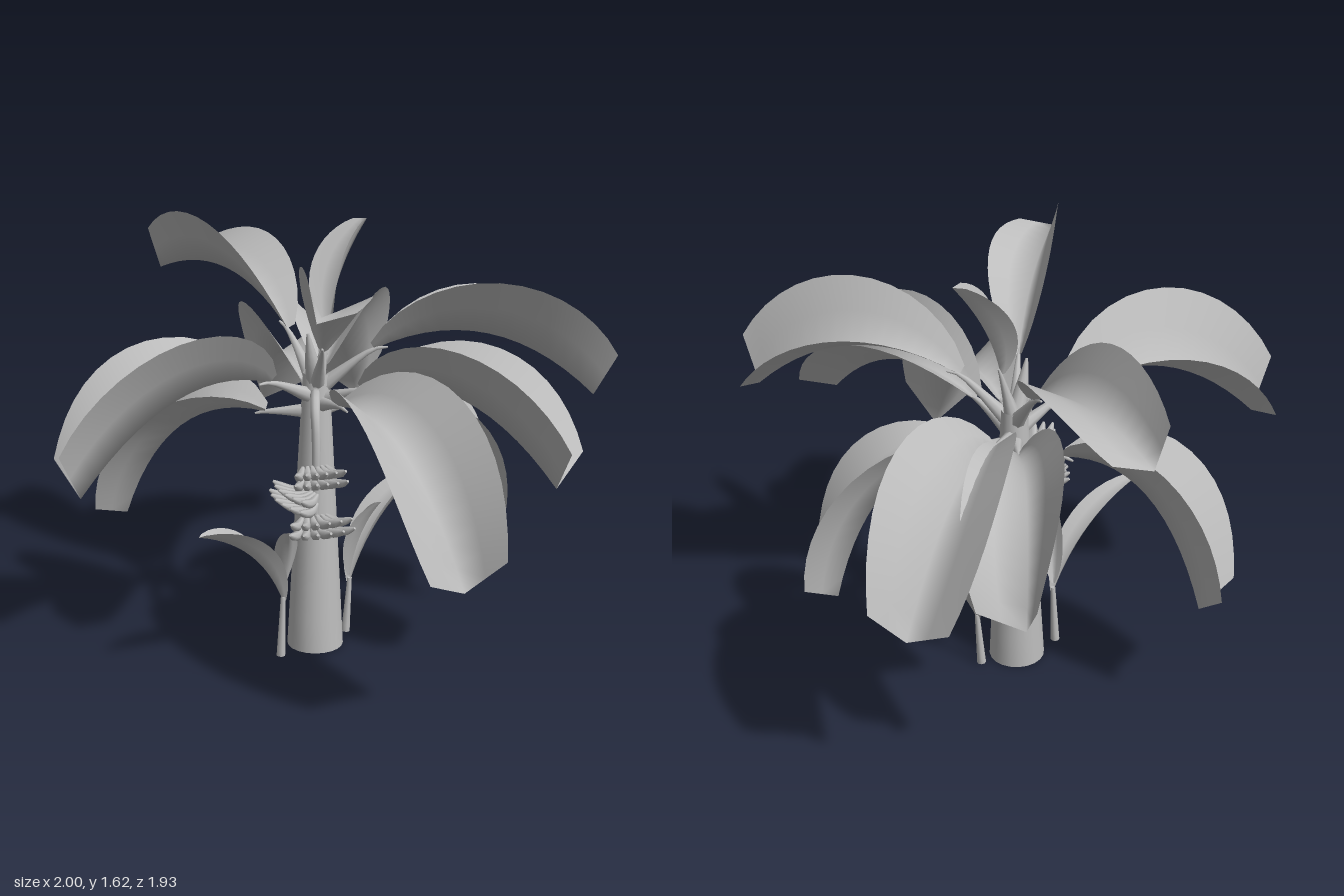
import * as THREE from 'three';

const V = (p) => new THREE.Vector3(...p);
const UP = new THREE.Vector3(0, 1, 0);

// grid of points -> smooth indexed surface
function surface(rows, closed = false) {
  const n = rows[0].length, pos = [], idx = [];
  rows.forEach((r) => r.forEach((p) => pos.push(p.x, p.y, p.z)));
  for (let i = 0; i < rows.length - 1; i++) {
    for (let j = 0; j < (closed ? n : n - 1); j++) {
      const k = (j + 1) % n, a = i * n + j, b = i * n + k, c = a + n, d = b + n;
      idx.push(a, b, c, b, d, c);
    }
  }
  const g = new THREE.BufferGeometry();
  g.setAttribute('position', new THREE.Float32BufferAttribute(pos, 3));
  g.setIndex(idx);
  g.computeVertexNormals();
  return g;
}

// round tapering tube through a few points, radii spread evenly along it
function taper(points, radii, sides = 10, steps = 8, capped = true) {
  const curve = new THREE.CatmullRomCurve3(points.map(V));
  const frames = curve.computeFrenetFrames(steps);
  const rows = [];
  for (let i = 0; i <= steps; i++) {
    const t = i / steps, c = curve.getPointAt(t), f = t * (radii.length - 1);
    const k = Math.min(Math.floor(f), radii.length - 2);
    const r = THREE.MathUtils.lerp(radii[k], radii[k + 1], f - k);
    const ring = [];
    for (let j = 0; j < sides; j++) {
      const a = (j / sides) * Math.PI * 2;
      ring.push(c.clone().addScaledVector(frames.normals[i], Math.cos(a) * r)
        .addScaledVector(frames.binormals[i], Math.sin(a) * r));
    }
    rows.push(ring);
  }
  if (capped) {
    const cap = (row) => {
      const m = new THREE.Vector3();
      row.forEach((p) => m.addScaledVector(p, 1 / sides));
      return row.map(() => m.clone());
    };
    const first = rows[0].map((p) => p.clone()), last = rows[steps].map((p) => p.clone());
    rows.unshift(cap(first), first);
    rows.push(last, cap(last));
  }
  return surface(rows, true);
}

// V-folded leaf blade along an arching midrib; roll tilts the right side up
// and grows by twist toward the tip, where the edges sweep back
function blade(base, mid, tip, half, roll, twist, fold = 0.78, blunt = 0.78) {
  const a = V(base), b = V(tip);
  const ctrl = V(mid).multiplyScalar(2).addScaledVector(a, -0.5).addScaledVector(b, -0.5);
  const curve = new THREE.QuadraticBezierCurve3(a, ctrl, b);
  const rows = [], steps = 14;
  for (let i = 0; i <= steps; i++) {
    const t = i / steps, c = curve.getPoint(t), T = curve.getTangent(t);
    const r = THREE.MathUtils.degToRad(roll + twist * t * t);
    const S = T.clone().cross(UP).normalize().applyAxisAngle(T, -r);
    const N = S.clone().cross(T);
    const w = half * Math.pow(Math.sin(Math.PI * (0.02 + blunt * t)), 0.7);
    rows.push([-1, -0.5, 0, 0.5, 1].map((s) => c.clone()
      .addScaledVector(S, s * w * Math.cos(fold))
      .addScaledVector(N, Math.abs(s) * w * Math.sin(fold))
      .addScaledVector(T, -Math.abs(s) * half * 0.22 * t * t * t)));
  }
  return surface(rows);
}

export function createModel() {
  const group = new THREE.Group();
  const gray = new THREE.MeshStandardMaterial({ color: 0xbcbcbc });
  gray.name = 'light gray';
  gray.side = THREE.DoubleSide;
  const add = (name, geo, parent = group) => {
    const m = new THREE.Mesh(geo, gray);
    m.name = name;
    parent.add(m);
    return m;
  };
  const sub = (name) => {
    const g = new THREE.Group();
    g.name = name;
    group.add(g);
    return g;
  };

  // trunk and rolled new leaf
  add('trunk', taper([[0.02, 0, 0], [0.025, 0.55, -0.01], [0.03, 1.07, -0.02]], [0.105, 0.077, 0.048], 20, 8, false));
  add('spearLeaf', taper([[0.025, 1.03, -0.01], [0, 1.13, 0.02], [-0.02, 1.24, 0.04]], [0.035, 0.025, 0.005]));

  // crown leaves: base, middle and tip of midrib, half width, roll, twist
  const leaves = [
    [[0.22, 1.17, 0.07], [0.6, 1.235, 0.21], [0.95, 1.02, 0.36], 0.26, 13, 18],
    [[0.16, 1.04, 0.13], [0.43, 1.07, 0.41], [0.67, 0.82, 0.7], 0.27, 10, 16],
    [[0.06, 1.0, 0.17], [0.17, 0.95, 0.54], [0.28, 0.55, 0.86], 0.28, -3, -20],
    [[0.0, 1.2, 0.15], [-0.075, 1.4, 0.4], [-0.18, 1.48, 0.67], 0.185, 13, 18],
    [[-0.17, 1.08, 0.07], [-0.54, 1.1, 0.21], [-0.91, 0.83, 0.34], 0.3, -13, -19],
    [[-0.14, 0.91, -0.1], [-0.42, 0.83, -0.26], [-0.6, 0.44, -0.42], 0.25, 10, 22],
    [[-0.03, 1.19, -0.19], [-0.17, 1.34, -0.53], [-0.35, 1.27, -0.85], 0.23, -12, -18],
    [[0.03, 0.98, -0.19], [0.03, 0.98, -0.53], [0.06, 0.68, -0.86], 0.25, -10, -22],
    [[0.11, 1.02, -0.2], [0.28, 1.01, -0.54], [0.46, 0.66, -0.86], 0.28, 3, 18],
    [[0.19, 0.93, -0.04], [0.5, 0.79, -0.08], [0.69, 0.37, -0.12], 0.25, -8, -20, 0.72],
    [[0.08, 1.22, -0.04], [0.14, 1.42, -0.08], [0.25, 1.6, -0.12], 0.11, 0, 0, 0.85, 0.9],
  ];
  leaves.forEach((spec, i) => {
    const [base, mid] = spec;
    const leaf = sub('crownLeaf' + (i + 1));
    add('blade', blade(...spec), leaf);
    const y = 0.93 + (base[1] - 0.93) * 0.3;
    const root = [0.03, y, -0.02];
    const on = V(base).lerp(V(mid), 0.12).toArray();
    add('leafStem', taper([root, base, on], [0.034, 0.017, 0.004], 8), leaf);
  });

  // hanging fruit stalk
  const bunch = sub('fruitBunch');
  add('fruitStalk', taper([[0.02, 0.98, 0.0], [-0.01, 1.03, 0.1], [-0.035, 1.0, 0.18],
    [-0.04, 0.88, 0.21], [-0.045, 0.55, 0.205]], [0.02, 0.017, 0.015, 0.013], 8, 16), bunch);

  // hands of fruit: height, facing angle, fan between neighbours
  const fruit = taper([[0.01, 0, 0], [0.05, -0.014, 0], [0.09, -0.005, 0], [0.13, 0.018, 0]],
    [0.007, 0.016, 0.017, 0.015, 0.005], 6, 7);
  [[0.78, 1.65, 0.16], [0.685, 2.95, 0.24], [0.59, 1.6, 0.24]].forEach(([y, facing, fan]) => {
    for (let row = 0; row < 2; row++) {
      for (let i = 0; i < 6; i++) {
        const m = add('fruit', fruit, bunch), k = i - 2.5;
        m.position.set(-0.048 - Math.sin(facing) * k * 0.015, y - 0.012 + row * 0.034,
          0.207 + Math.cos(facing) * k * 0.015);
        m.rotation.y = -(facing + k * fan);
        m.scale.x = 1.1 - row * 0.1;
      }
    }
  });

  // young shoots beside the trunk
  const shoots = [
    { name: 'leftShoot', foot: [0.16, 0, -0.06], top: [0.175, 0.22, -0.06],
      blades: [[[0.175, 0.2, -0.06], [0.31, 0.44, -0.1], [0.51, 0.6, -0.15], 0.09, 0],
        [[0.175, 0.23, -0.06], [0.21, 0.41, -0.03], [0.27, 0.55, 0.02], 0.06, 0]] },
    { name: 'rightShoot', foot: [-0.135, 0, 0.07], top: [-0.125, 0.24, 0.07],
      blades: [[[-0.125, 0.22, 0.07], [-0.27, 0.46, 0.16], [-0.49, 0.61, 0.28], 0.08, 0],
        [[-0.125, 0.26, 0.07], [-0.125, 0.42, 0.13], [-0.14, 0.55, 0.2], 0.06, 0]] },
  ];
  shoots.forEach(({ name, foot, top, blades }) => {
    const shoot = sub(name);
    const mid = V(foot).lerp(V(top), 0.5).toArray();
    add('shootStem', taper([foot, mid, top], [0.017, 0.013, 0.009], 8), shoot);
    blades.forEach((b) => add('shootLeaf', blade(...b, 0, 0.8, 0.95), shoot));
  });

  return group;
}
